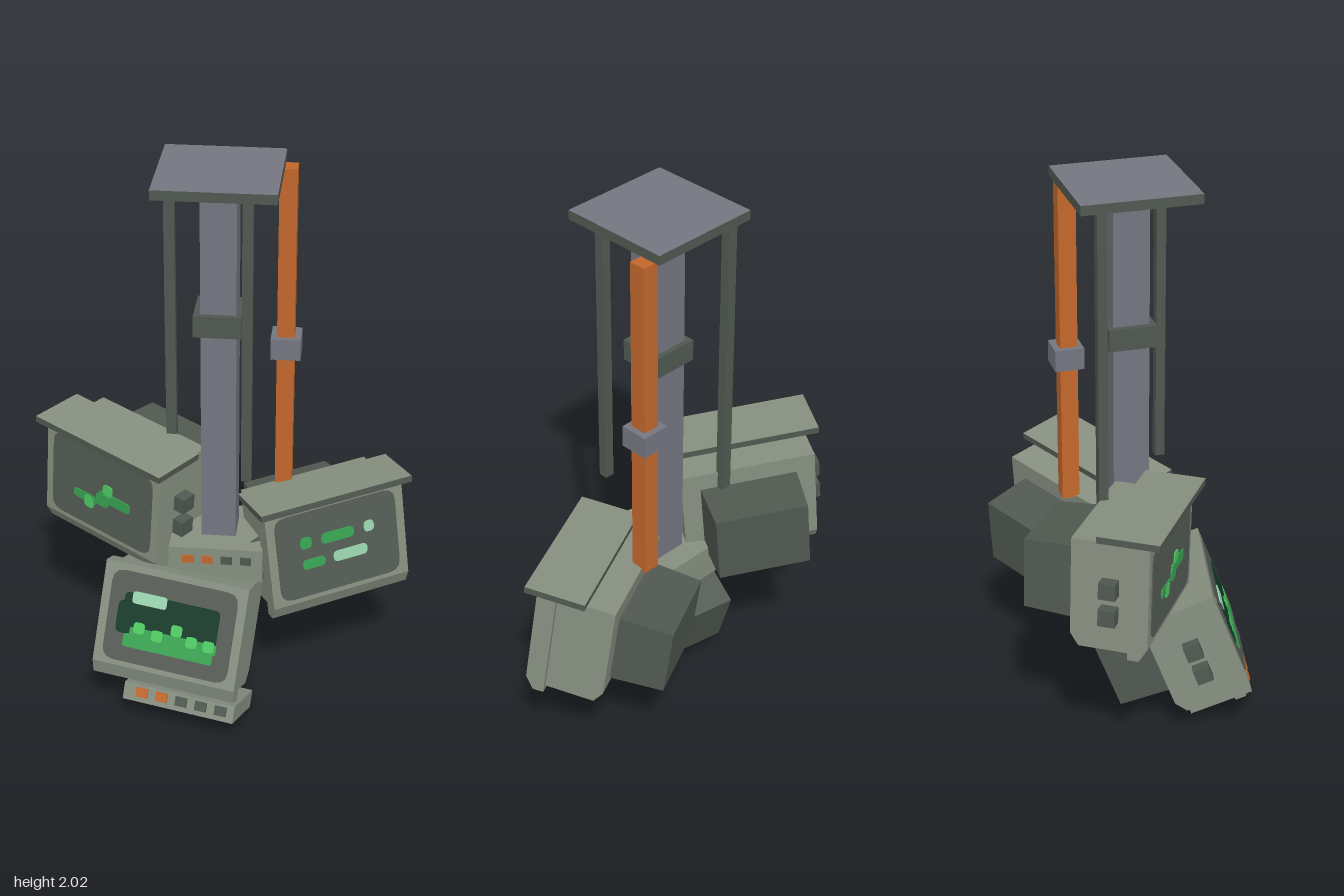
import * as THREE from 'three';

const mat = (name, color) => {
  const m = new THREE.MeshStandardMaterial({ color });
  m.name = name;
  return m;
};
const olive = mat('olive casing', 0x868f80);
const dark = mat('dark olive', 0x505850);
const steel = mat('grey steel', 0x747580);
const orange = mat('orange paint', 0xc2672b);
const glass = mat('grey glass', 0x555c54);
const night = mat('dark screen', 0x0e3826);
const green = mat('green glow', 0x38a452);
const bright = mat('bright green', 0x4ecb62);
const pale = mat('pale green', 0x9ad4ae);

function add(parent, name, geometry, material, x = 0, y = 0, z = 0) {
  const m = new THREE.Mesh(geometry, material);
  m.name = name;
  m.position.set(x, y, z);
  parent.add(m);
  return m;
}
const box = (p, name, material, w, h, d, x, y, z) =>
  add(p, name, new THREE.BoxGeometry(w, h, d), material, x, y, z);

// box whose top face has its own colour
const cappedBox = (p, name, top, side, ...dims) =>
  box(p, name, [side, side, top, side, side, side], ...dims);

// thin rounded plate lying on a front face
function plate(p, name, material, x, y, w, h, r, z) {
  const s = new THREE.Shape();
  const a = w / 2, b = h / 2;
  s.moveTo(-a + r, -b);
  s.lineTo(a - r, -b);
  s.quadraticCurveTo(a, -b, a, -b + r);
  s.lineTo(a, b - r);
  s.quadraticCurveTo(a, b, a - r, b);
  s.lineTo(-a + r, b);
  s.quadraticCurveTo(-a, b, -a, b - r);
  s.lineTo(-a, -b + r);
  s.quadraticCurveTo(-a, -b, -a + r, -b);
  const g = new THREE.ExtrudeGeometry(s, { depth: 0.004, bevelEnabled: false, curveSegments: 3 });
  return add(p, name, g, material, x, y, z);
}

// side profile of [depth behind the face, height] points, swept across the width
function sweep(points, width) {
  const s = new THREE.Shape(points.map(([d, y]) => new THREE.Vector2(d, y)));
  const g = new THREE.ExtrudeGeometry(s, { depth: width, bevelEnabled: false });
  return g.translate(0, 0, -width / 2).rotateY(Math.PI / 2);
}

// box that narrows toward the back
function taperedBox(w, h, d, k) {
  const g = new THREE.BoxGeometry(w, h, d);
  const p = g.attributes.position;
  for (let i = 0; i < p.count; i++) {
    if (p.getZ(i) < 0) p.setXY(i, p.getX(i) * k, p.getY(i) * k);
  }
  g.computeVertexNormals();
  return g;
}

// one monitor, its face centred on its own origin
function monitor(name, position, pitch, yaw, roll, { hood, knobSides }) {
  const g = new THREE.Group();
  g.name = name;
  g.position.set(...position);
  const rad = THREE.MathUtils.degToRad;
  g.rotation.set(rad(pitch), rad(yaw), rad(roll), 'YXZ');

  add(g, 'bezel', sweep([[0, 0.215], [0, -0.165], [0.03, -0.215], [0.07, -0.215], [0.07, 0.215]], 0.54), olive);
  add(g, 'casing', sweep([[0.07, 0.2], [0.07, -0.2], [0.25, -0.2], [0.28, -0.155], [0.28, 0.2]], 0.5), olive);
  add(g, 'tubeHousing', taperedBox(0.36, 0.27, 0.2, 0.94), dark, 0, 0, -0.375);
  plate(g, 'screenPanel', glass, 0, 0.022, 0.475, 0.335, 0.045, 0);
  if (hood) cappedBox(g, 'hood', olive, dark, 0.59, 0.024, 0.22, 0, 0.227, -0.07);
  for (const s of knobSides) {
    for (const y of [0.04, -0.06]) box(g, 'sideKnob', dark, 0.05, 0.06, 0.06, s * 0.27, y, -0.14);
  }
  return g;
}

export function createModel() {
  const root = new THREE.Group();
  root.name = 'hangingMonitorCluster';

  // ceiling plate, column, conduits and hub
  cappedBox(root, 'ceilingPlate', steel, dark, 0.42, 0.035, 0.42, -0.01, 1.9825, -0.01);
  box(root, 'column', steel, 0.125, 1.4, 0.13, -0.008, 1.265, -0.005);
  box(root, 'columnCollar', dark, 0.167, 0.08, 0.17, -0.011, 1.455, -0.005);
  box(root, 'orangeConduit', orange, 0.062, 1.24, 0.064, 0.212, 1.34, -0.163);
  box(root, 'conduitCollar', steel, 0.107, 0.08, 0.107, 0.213, 1.285, -0.165);
  box(root, 'thinRod', dark, 0.036, 1.065, 0.034, 0.1, 1.433, 0.148);
  box(root, 'thinRod', dark, 0.038, 1.12, 0.034, -0.2, 1.405, -0.148);
  box(root, 'hub', olive, 0.34, 0.13, 0.31, -0.01, 0.54, 0);
  for (const x of [-0.11, -0.04]) box(root, 'hubButton', orange, 0.04, 0.03, 0.008, x, 0.56, 0.157);
  for (const x of [0.03, 0.1]) box(root, 'hubButton', dark, 0.04, 0.03, 0.008, x, 0.56, 0.157);

  // right-hand monitor with a small map
  const a = monitor('rightMonitor', [-0.44, 0.72, 0.027], 0, -33, -4.5, { hood: true, knobSides: [-1, 1] });
  const mapBits = [
    [-0.075, -0.027, 0.11, 0.036, green], [-0.055, -0.04, 0.045, 0.05, bright],
    [0.065, 0.012, 0.15, 0.042, green], [0.01, -0.005, 0.06, 0.05, green],
    [0.035, 0.047, 0.045, 0.045, bright],
  ];
  mapBits.forEach(([x, y, w, h, m], i) => plate(a, 'mapShape', m, x, y, w, h, 0.015, 0.003 + i * 0.001));

  // left-hand monitor with status dashes
  const b = monitor('leftMonitor', [0.43, 0.57, 0.066], -7, 27, 4, { hood: true, knobSides: [-1] });
  const dashes = [
    [-0.125, 0.07, 0.045, 0.046, green], [0, 0.068, 0.13, 0.042, green], [0.125, 0.07, 0.04, 0.044, pale],
    [-0.1, -0.017, 0.09, 0.038, green], [0.045, -0.016, 0.135, 0.042, pale],
  ];
  dashes.forEach(([x, y, w, h, m]) => plate(b, 'statusDash', m, x, y, w, h, 0.018, 0.004));

  // low front monitor with a picture screen
  const c = monitor('frontMonitor', [-0.16, 0.355, 0.33], -21, -11.5, -2.5, { hood: false, knobSides: [-1] });
  plate(c, 'darkScreen', night, 0, 0.055, 0.36, 0.12, 0.02, 0.0035);
  plate(c, 'darkScreen', night, -0.01, 0.02, 0.38, 0.12, 0.02, 0.003);
  plate(c, 'greenField', green, 0.005, -0.062, 0.34, 0.05, 0.01, 0.0045);
  plate(c, 'greenField', green, 0.02, -0.03, 0.33, 0.04, 0.01, 0.004);
  [[-0.11, -0.01], [-0.04, -0.025], [0.03, 0.01], [0.09, -0.02], [0.155, -0.022]].forEach(([x, y]) =>
    plate(c, 'brightShape', bright, x, y, 0.042, 0.042, 0.012, 0.005));
  plate(c, 'screenGlint', pale, -0.085, 0.1, 0.13, 0.045, 0.012, 0.005);

  // control ledge under the front monitor
  box(c, 'controlLedge', olive, 0.42, 0.065, 0.24, 0.07, -0.255, -0.135);
  for (let i = 0; i < 5; i++) {
    box(c, 'ledgeButton', i < 2 ? orange : dark, 0.044, 0.034, 0.008, -0.07 + i * 0.075, -0.25, -0.012);
  }

  root.add(a, b, c);
  return root;
}
